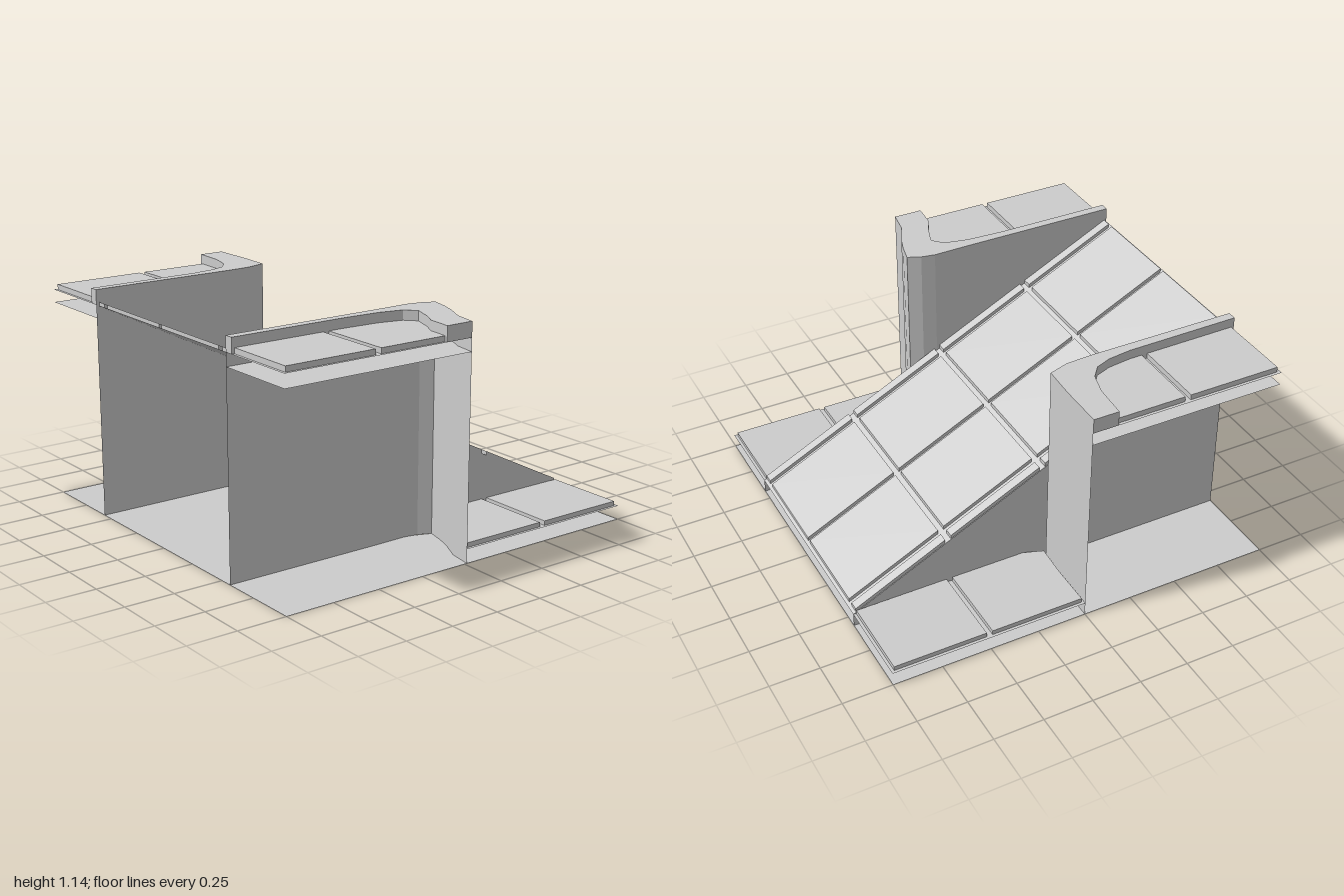
import * as THREE from 'three';

const stone = new THREE.MeshStandardMaterial({ color: 0xcccccc, side: THREE.DoubleSide });
stone.name = 'light grey stone';

// Plan outlines as [x, z] pairs: cliff edge from the outer side to the front, and inner kerb edge
const SIDES = [
  {
    name: 'left', s: 1,
    outer: [[1, -0.015], [0.88, -0.035], [0.77, -0.088], [0.69, -0.115], [0.604, -0.135], [0.575, -0.07], [0.562, 0], [0.565, 0.2], [0.565, 1]],
    cliffEnd: 5,
    inner: [[1, 0.13], [0.877, 0.12], [0.807, 0.083], [0.7, 0.045], [0.647, 0.094], [0.62, 0.216], [0.61, 0.4], [0.61, 1]],
    notch: [[0.566, -0.2], [0.604, -0.135], [0.566, -0.04]],
  },
  {
    name: 'right', s: -1,
    outer: [[-1, 0], [-0.77, 0], [-0.604, 0.008], [-0.572, 0.11], [-0.565, 0.24], [-0.565, 1]],
    cliffEnd: 3,
    inner: [[-1, 0.13], [-0.83, 0.14], [-0.72, 0.17], [-0.66, 0.22], [-0.63, 0.3], [-0.615, 0.42], [-0.61, 1]],
    notch: [[-0.566, -0.1], [-0.604, 0.008], [-0.566, 0.07]],
  },
];
const RAMP_HALF = 0.565;
const rampY = (z) => 0.57 + 0.5 * z;

const toVecs = (pts) => pts.map(([x, z]) => new THREE.Vector2(x, -z));

// Flat horizontal plate
function plate(pts, y, holes = []) {
  const shape = new THREE.Shape(toVecs(pts));
  for (const h of holes) shape.holes.push(new THREE.Path(toVecs(h)));
  return new THREE.ShapeGeometry(shape).rotateX(-Math.PI / 2).translate(0, y, 0);
}

// Solid block raised from a plan outline
function block(pts, y0, y1) {
  return new THREE.ExtrudeGeometry(new THREE.Shape(toVecs(pts)), { depth: y1 - y0, bevelEnabled: false })
    .rotateX(-Math.PI / 2).translate(0, y0, 0);
}

// Upright sheet following a path, its top given by a rule
function sheet(pts, top) {
  const pos = [];
  for (let i = 0; i < pts.length - 1; i++) {
    const [ax, az] = pts[i], [bx, bz] = pts[i + 1];
    const a = [ax, 0, az], b = [bx, 0, bz];
    const c = [bx, top(bz), bz], d = [ax, top(az), az];
    pos.push(...a, ...b, ...c, ...a, ...c, ...d);
  }
  const g = new THREE.BufferGeometry();
  g.setAttribute('position', new THREE.Float32BufferAttribute(pos, 3));
  g.computeVertexNormals();
  return g;
}

const rect = (x0, x1, z0, z1) => [[x0, z0], [x1, z0], [x1, z1], [x0, z1]];

export function createModel() {
  const model = new THREE.Group();
  model.name = 'rampTile';
  const add = (name, geometry) => {
    const mesh = new THREE.Mesh(geometry, stone);
    mesh.name = name;
    model.add(mesh);
  };

  // Ground sheet with a small notch beside each cliff corner
  add('base', plate(rect(-1, 1, -1, 1), 0, SIDES.map((d) => d.notch)));

  // Sloping ramp sheet
  const slope = new THREE.Matrix4().set(1, 0, 0, 0, 0, 1, 0.5, 0, 0, 0, 1, 0, 0, 0, 0, 1);
  add('ramp', plate(rect(-RAMP_HALF, RAMP_HALF, -1, 1), 0.57).applyMatrix4(slope));

  // Ramp paving: two wide columns and a sliver along each edge
  const columns = [[-0.562, -0.515], [-0.485, -0.012], [0.012, 0.485], [0.515, 0.562]];
  const rows = [[-0.985, -0.515], [-0.485, -0.015], [0.015, 0.485], [0.515, 0.985]];
  for (const [x0, x1] of columns) {
    for (const [z0, z1] of rows) {
      add('rampPaver', block(rect(x0, x1, z0, z1), 0.57, 0.59).applyMatrix4(slope));
    }
  }

  for (const { name, s, outer, cliffEnd, inner, notch } of SIDES) {
    const cliffRun = outer.slice(0, cliffEnd);
    const corner = cliffRun[cliffRun.length - 1];

    // Cliff wall, curving round to run beside the ramp
    add(name + 'CliffWall', sheet(outer, () => 1.145));

    // Lower side of the ramp
    add(name + 'RampSide', sheet([[s * RAMP_HALF, -1], notch[0], notch[2]], rampY));

    // Upper platform: two sheets with a raised kerb
    const platform = [...outer, [s, 1]];
    add(name + 'PlatformTop', plate(platform, 1.07));
    add(name + 'PlatformUnderside', plate(platform, 1.005));
    add(name + 'Kerb', block([...outer, ...inner.slice().reverse()], 1.07, 1.145));

    // Platform paving
    for (const [z0, z1] of [[0.02, 0.485], [0.515, 0.985]]) {
      add(name + 'PlatformPaver', block(rect(s * 0.6, s * 0.985, z0, z1), 1.07, 1.097));
    }

    // Lower floor, cut to the foot of the cliff
    add(name + 'Floor', plate([[s, -1], [s * RAMP_HALF, -1], notch[0], corner, ...cliffRun.slice(0, -1).reverse()], 0.07));

    // Floor paving
    add(name + 'FloorPaver', block(rect(s * 0.57, s * 0.985, -0.985, -0.515), 0.07, 0.093));
    const edge = cliffRun.map(([x, z]) => [s * Math.min(Math.abs(x), 0.985), z - 0.012]);
    add(name + 'FloorPaver', block(
      [[s * 0.985, -0.485], [s * 0.57, -0.485], [s * 0.57, notch[0][1]], ...edge.reverse()], 0.07, 0.093));
  }
  return model;
}
